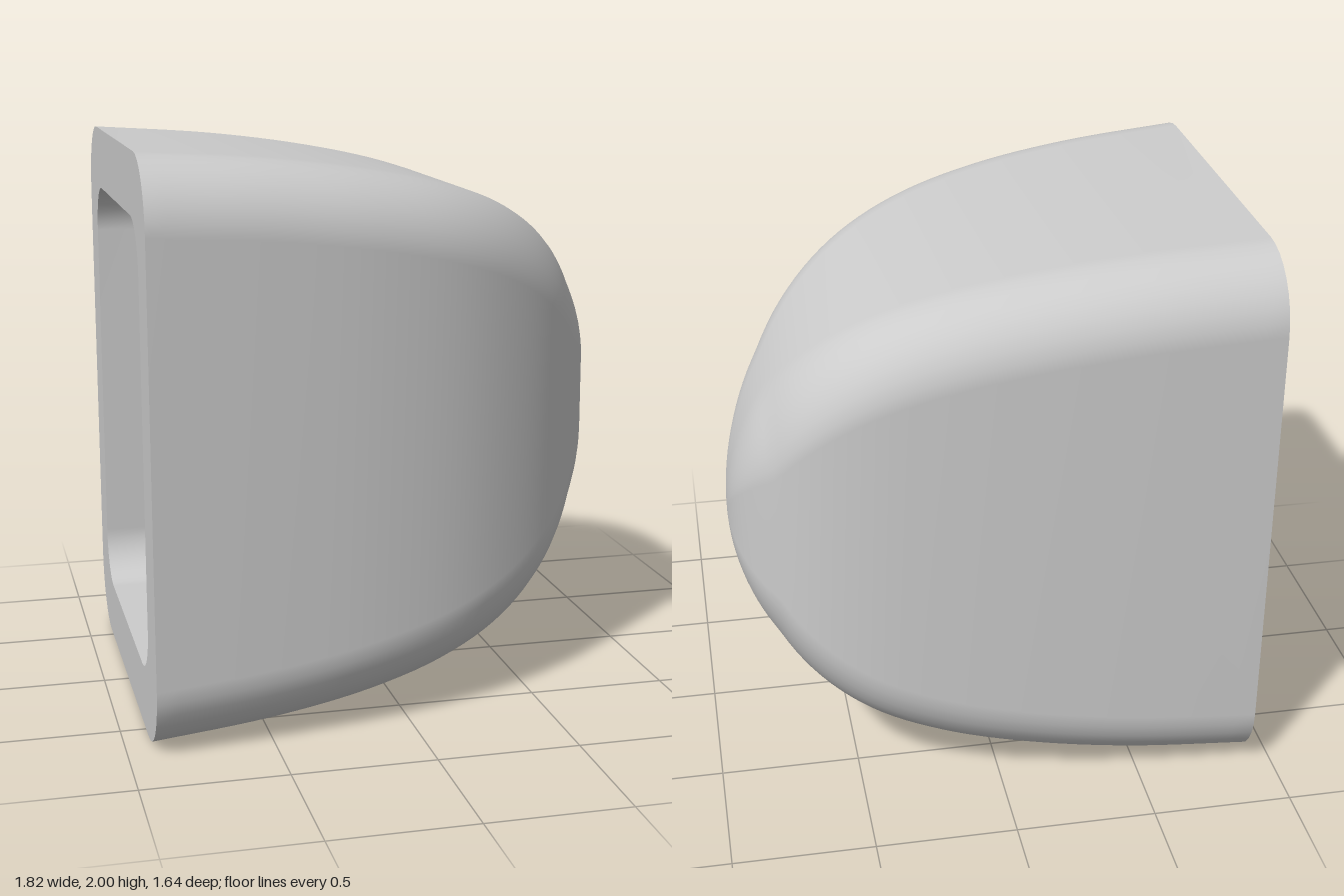
import * as THREE from 'three';

const ARC = 8; // segments per rounded corner

// Rounded-rectangle cross-section at x: half height h, z from zBack to zFront
function ring(x, h, zFront, zBack, radius) {
  const cz = (zFront + zBack) / 2, hz = (zFront - zBack) / 2;
  const r = Math.min(radius, 0.7 * h, 0.7 * hz);
  const pts = [];
  [[1, 1], [-1, 1], [-1, -1], [1, -1]].forEach(([sz, sy], corner) => {
    for (let k = 0; k <= ARC; k++) {
      const a = (corner + k / ARC) * Math.PI / 2;
      pts.push([x, 1 + sy * (h - r) + r * Math.sin(a), cz + sz * (hz - r) + r * Math.cos(a)]);
    }
  });
  return pts;
}

// Skin a series of cross-sections
function loft(name, rings, material) {
  const n = rings[0].length, index = [];
  for (let i = 0; i < rings.length - 1; i++) {
    for (let j = 0; j < n; j++) {
      const a = i * n + j, b = i * n + (j + 1) % n;
      index.push(a, b, a + n, b, b + n, a + n);
    }
  }
  const geometry = new THREE.BufferGeometry();
  geometry.setAttribute('position', new THREE.Float32BufferAttribute(rings.flat(2), 3));
  geometry.setIndex(index);
  geometry.computeVertexNormals();
  const mesh = new THREE.Mesh(geometry, material);
  mesh.name = name;
  return mesh;
}

export function createModel() {
  const group = new THREE.Group();
  group.name = 'roundedNoseCap';
  const material = new THREE.MeshStandardMaterial({ color: 0xcccccc });

  // Sections from nose to base: half height, front z, back z
  const profile = new THREE.CatmullRomCurve3([
    [0, -0.28, -0.28], [0.21, -0.1, -0.405], [0.42, 0.1, -0.52],
    [0.605, 0.305, -0.628], [0.75, 0.475, -0.702], [0.85, 0.615, -0.747],
    [0.92, 0.71, -0.78], [0.97, 0.77, -0.805], [1, 0.817, -0.82],
  ].map((p) => new THREE.Vector3(...p)), false, 'catmullrom', 0.5);

  // Outer shell; x falls off with t squared so the nose is blunt
  const steps = 48, shell = [];
  for (let i = 0; i <= steps; i++) {
    const t = i / steps, p = profile.getPoint(t);
    shell.push(ring(0.91 - 1.82 * t * t, p.x, p.y, p.z, 0.25));
  }
  group.add(loft('shell', shell, material));

  // Flat base rim, then the recess: wall, bevelled foot and floor
  const opening = (x, inset) => ring(x, 0.78 - inset, 0.62 - inset, inset - 0.62, 0.18 - inset);
  const mouth = opening(-0.91, 0), wallEnd = opening(-0.65, 0), floorEdge = opening(-0.59, 0.04);
  group.add(loft('rim', [shell[steps], mouth], material));
  group.add(loft('recessWall', [mouth, wallEnd], material));
  group.add(loft('recessBevel', [wallEnd, floorEdge], material));
  group.add(loft('recessFloor', [floorEdge, ring(-0.59, 0, 0, 0, 0)], material));
  return group;
}
